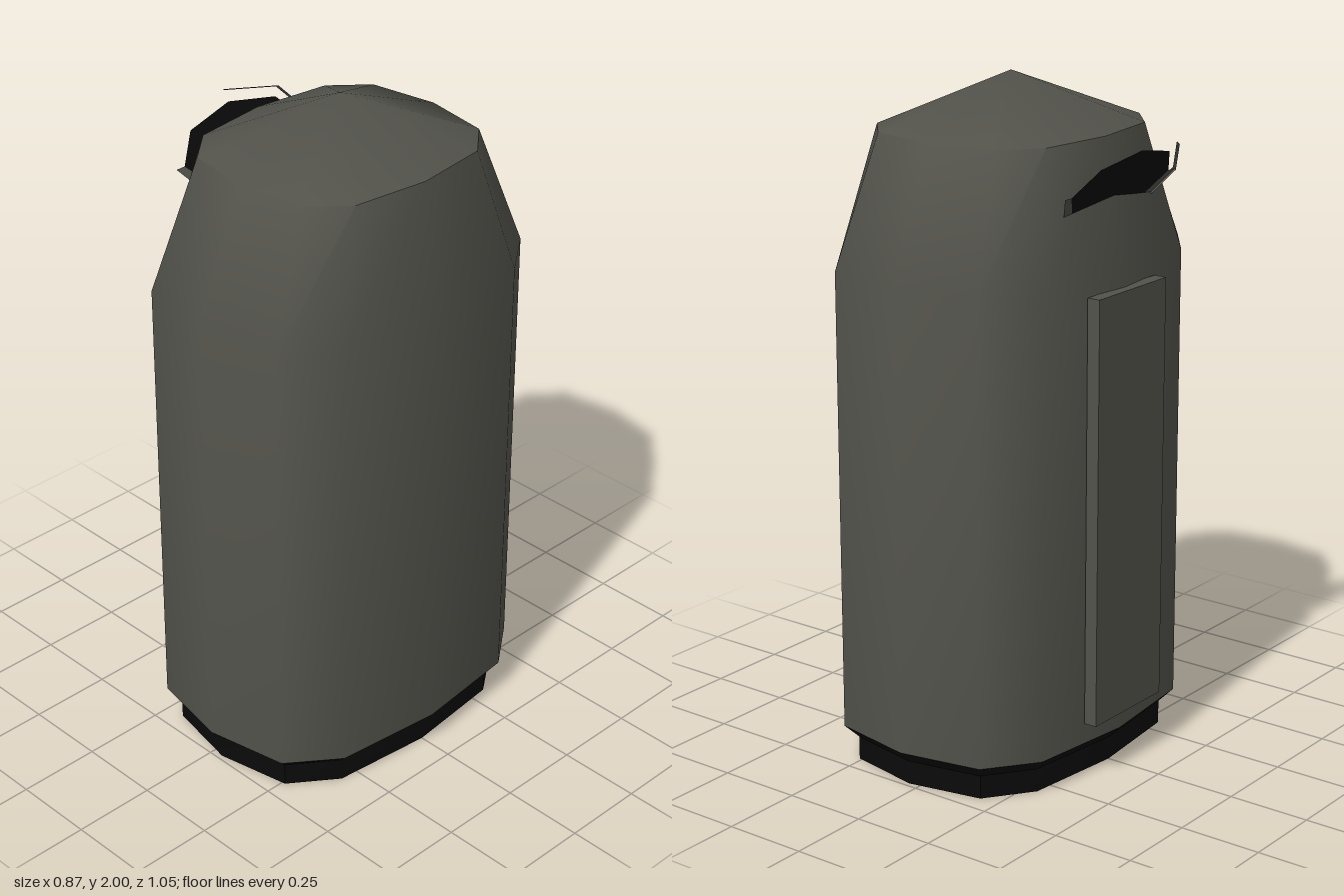
import * as THREE from 'three';
import { toCreasedNormals } from 'three/addons/utils/BufferGeometryUtils.js';

const CENTRE_X = 0.035;

// Twelve-sided rounded-rectangle outline, mirrored from one quarter
const quarter = [[0, 0.525], [0.25, 0.477], [0.361, 0.33], [0.397, 0]];
const outline = [
  ...quarter,
  ...quarter.slice(0, 3).reverse().map(([x, z]) => [x, -z]),
  ...quarter.slice(1).map(([x, z]) => [-x, -z]),
  ...quarter.slice(1, 3).reverse().map(([x, z]) => [-x, z]),
];

// Joins closed loops of equal length; faces point outward when the loops rise counter-clockwise
function loft(loops, crease) {
  const n = loops[0].length, index = [];
  for (let r = 0; r < loops.length - 1; r++) {
    for (let i = 0; i < n; i++) {
      const a = r * n + i, b = r * n + (i + 1) % n;
      index.push(a, b, b + n, a, b + n, a + n);
    }
  }
  const geometry = new THREE.BufferGeometry();
  geometry.setAttribute('position', new THREE.Float32BufferAttribute(loops.flat(2), 3));
  geometry.setIndex(index);
  return toCreasedNormals(geometry, crease);
}

// Outline scaled in x and z at a given height
const section = (y, sx, sz) => outline.map(([x, z]) => [CENTRE_X + x * sx, y, z * sz]);

function addMesh(parent, name, geometry, material) {
  const mesh = new THREE.Mesh(geometry, material);
  mesh.name = name;
  parent.add(mesh);
  return mesh;
}

export function createModel() {
  const model = new THREE.Group();
  model.name = 'bin';
  const shell = new THREE.MeshStandardMaterial({ color: 0x52524b });
  shell.name = 'grey shell';
  const dark = new THREE.MeshStandardMaterial({ color: 0x0a0a0a, side: THREE.DoubleSide });
  dark.name = 'black';
  const rimGrey = new THREE.MeshStandardMaterial({ color: 0x52524b, side: THREE.DoubleSide });
  rimGrey.name = 'grey rim';

  // Black plinth with a flared upper edge
  addMesh(model, 'base', loft([
    section(0, 0, 0), section(0, 0.9, 0.925), section(0.07, 0.9, 0.925), section(0.11, 1, 1),
  ], 0.7), dark);

  // Upright body with tapered shoulders and a shallow peak
  addMesh(model, 'body', loft([
    section(0.11, 1, 1), section(1.475, 1, 1), section(1.85, 0.82, 0.705), section(2, 0, 0),
  ], 0.87), shell);

  // Raised service panel on the right side
  const panel = addMesh(model, 'sidePanel', new THREE.BoxGeometry(0.04, 1.26, 0.32), shell);
  panel.position.set(-0.37, 0.805, 0);

  // Tilted eight-sided flap: local x runs across, y up the flap, z towards the body
  const flap = new THREE.Group();
  flap.name = 'flap';
  const up = new THREE.Vector3(-0.56, 0.83, 0).normalize();
  const across = new THREE.Vector3(0, 0, -1);
  const facing = new THREE.Vector3().crossVectors(across, up);
  flap.quaternion.setFromRotationMatrix(new THREE.Matrix4().makeBasis(across, up, facing));
  flap.position.set(-0.345, 1.724, 0);
  model.add(flap);

  const octagon = (rx, ry, z, turn = 1) => Array.from({ length: 8 }, (_, i) => {
    const a = turn * i * Math.PI / 4;
    return [rx * Math.cos(a), ry * Math.sin(a), z];
  });

  // Black inner plate
  const plate = new THREE.Shape(octagon(0.23, 0.122, 0).map(([x, y]) => new THREE.Vector2(x, y)));
  addMesh(flap, 'flapPlate', new THREE.ShapeGeometry(plate), dark);

  // Thin rim wall facing inward
  addMesh(flap, 'flapRim', loft([
    octagon(0.26, 0.158, -0.006, -1), octagon(0.26, 0.158, 0.006, -1),
  ], 0.9), shell);

  // Lower lip joining rim and plate
  const lip = new THREE.Shape();
  const outer = octagon(0.26, 0.158, 0), inner = octagon(0.23, 0.122, 0);
  const lower = [4, 5, 6, 7, 0];
  lip.setFromPoints([
    ...lower.map(i => outer[i]), ...lower.slice().reverse().map(i => inner[i]),
  ].map(([x, y]) => new THREE.Vector2(x, y)));
  addMesh(flap, 'flapLip', new THREE.ShapeGeometry(lip), rimGrey);

  return model;
}
